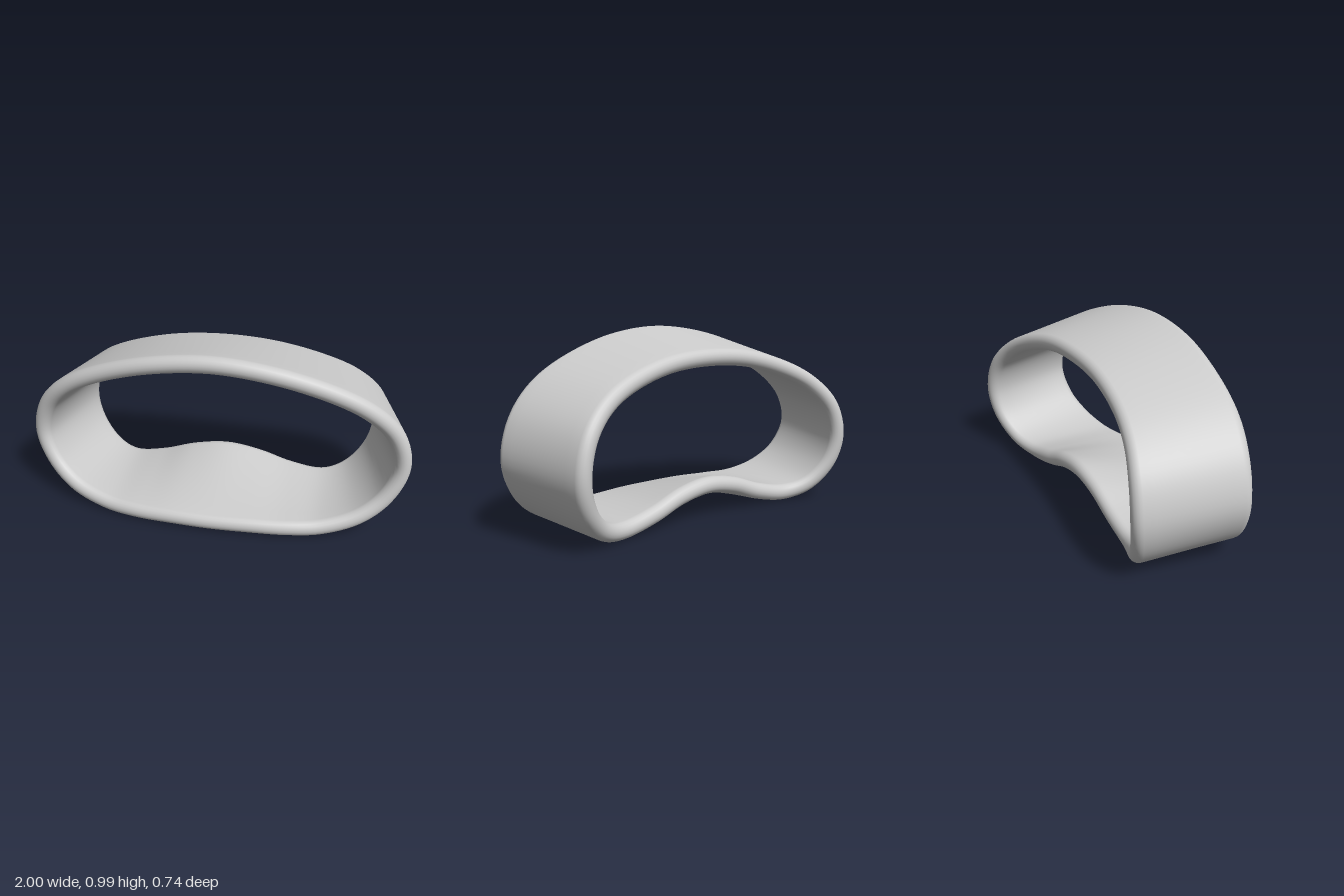
import * as THREE from 'three';

const HALF = 0.045; // half of the wall thickness
const LOOP = 132;   // steps around the band
const ARC = 10;     // steps over each rounded rim
const WALL = 8;     // steps along each wall

// Closed smooth curve from points on the +x half, bottom centre to top centre
function mirroredLoop(half) {
  const pts = half.map(p => new THREE.Vector3(...p));
  const other = pts.slice(1, -1).reverse().map(p => new THREE.Vector3(-p.x, p.y, p.z));
  return new THREE.CatmullRomCurve3([...pts, ...other], true, 'catmullrom', 0.5);
}

// Centre line of the front rim
const frontRim = mirroredLoop([
  [0, 0.055, 0.325], [0.2, 0.055, 0.318], [0.4, 0.05, 0.298], [0.58, 0.055, 0.262],
  [0.76, 0.11, 0.215], [0.89, 0.22, 0.165], [0.955, 0.385, 0.135], [0.91, 0.565, 0.145],
  [0.78, 0.71, 0.18], [0.58, 0.82, 0.215], [0.3, 0.91, 0.25], [0, 0.945, 0.26],
]);

// Centre line of the back rim, raised at the bottom centre
const backRim = mirroredLoop([
  [0, 0.175, -0.17], [0.18, 0.147, -0.17], [0.36, 0.085, -0.175], [0.55, 0.05, -0.19],
  [0.7, 0.09, -0.245], [0.81, 0.21, -0.3], [0.85, 0.37, -0.325], [0.805, 0.54, -0.31],
  [0.68, 0.67, -0.265], [0.5, 0.76, -0.225], [0.26, 0.825, -0.2], [0, 0.845, -0.195],
]);

// Capsule section as [position from back 0 to front 1, along depth, along outward normal]
function capsuleSection() {
  const s = [];
  for (let k = 0; k < WALL; k++) s.push([k / WALL, 0, 1]);
  for (let k = 0; k < ARC; k++) {
    const a = Math.PI * k / ARC;
    s.push([1, Math.sin(a), Math.cos(a)]);
  }
  for (let k = 0; k < WALL; k++) s.push([1 - k / WALL, 0, -1]);
  for (let k = 0; k < ARC; k++) {
    const a = Math.PI * k / ARC;
    s.push([0, -Math.sin(a), -Math.cos(a)]);
  }
  return s;
}

function bandGeometry() {
  const section = capsuleSection();
  const n = section.length;
  const positions = [], index = [];
  const e = 0.002;
  const tangent = (curve, u) =>
    curve.getPoint((u + e) % 1).sub(curve.getPoint((u - e + 1) % 1)).normalize();

  for (let i = 0; i < LOOP; i++) {
    const u = i / LOOP;
    const f = frontRim.getPoint(u), b = backRim.getPoint(u);
    const depth = f.clone().sub(b).normalize();
    const tf = tangent(frontRim, u), tb = tangent(backRim, u);
    section.forEach(([t, d, o], j) => {
      const normal = tb.clone().lerp(tf, t).cross(depth).normalize();
      const p = b.clone().lerp(f, t)
        .addScaledVector(depth, d * HALF)
        .addScaledVector(normal, o * HALF);
      positions.push(p.x, p.y, p.z);
      const i2 = (i + 1) % LOOP, j2 = (j + 1) % n;
      const a = i * n + j, c = i2 * n + j, g = i2 * n + j2, h = i * n + j2;
      index.push(a, c, g, a, g, h);
    });
  }
  const geo = new THREE.BufferGeometry();
  geo.setAttribute('position', new THREE.Float32BufferAttribute(positions, 3));
  geo.setIndex(index);
  geo.computeVertexNormals();
  geo.computeBoundingBox();
  geo.translate(0, -geo.boundingBox.min.y, 0); // rest on the floor
  return geo;
}

export function createModel() {
  const group = new THREE.Group();
  group.name = 'curvedBand';
  const band = new THREE.Mesh(bandGeometry(), new THREE.MeshStandardMaterial({ color: 0xcccccc }));
  band.name = 'bandFrame';
  group.add(band);
  return group;
}
